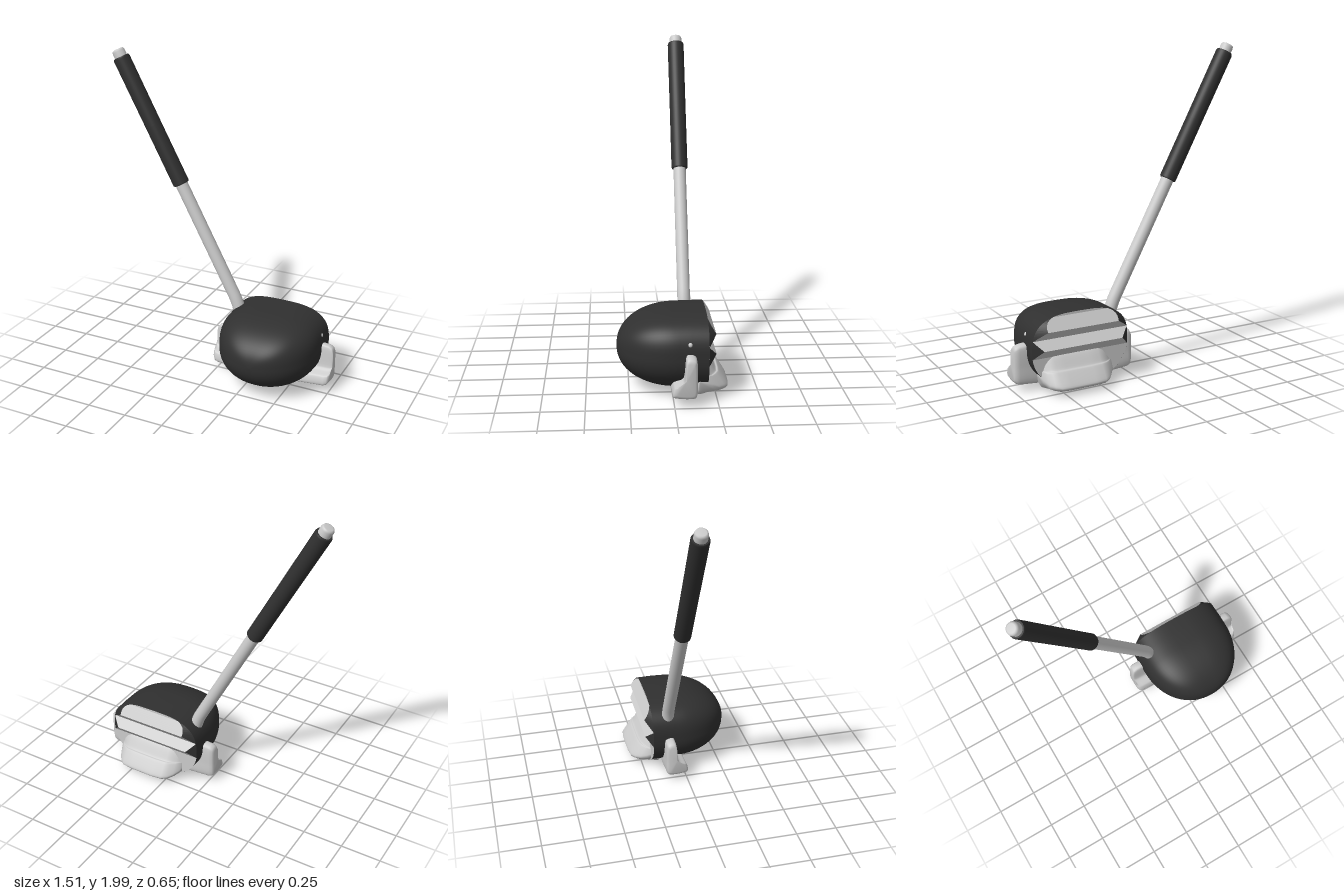
import * as THREE from 'three';

const grey = new THREE.MeshStandardMaterial({ color: 0xcccccc, side: THREE.DoubleSide });
const dark = new THREE.MeshStandardMaterial({ color: 0x303030, side: THREE.DoubleSide });
const CX = 0.36, CY = 0.25, FACE_Z = -0.2, SHAFT_Z = -0.095;

function mesh(name, geometry, material) {
  const m = new THREE.Mesh(geometry, material);
  m.name = name;
  return m;
}

// Skin over closed rings of equal length, ordered along their axis
function loft(rings) {
  const n = rings[0].length, pos = [], idx = [];
  rings.forEach(r => r.forEach(p => pos.push(...p)));
  for (let i = 0; i < rings.length - 1; i++)
    for (let j = 0; j < n; j++) {
      const a = i * n + j, b = i * n + (j + 1) % n;
      idx.push(a, b, b + n, a, b + n, a + n);
    }
  const g = new THREE.BufferGeometry();
  g.setAttribute('position', new THREE.Float32BufferAttribute(pos, 3));
  g.setIndex(idx);
  g.computeVertexNormals();
  return g;
}

// Head outline: boxier above the middle, rounder below
const power = up => (up ? 3 : 2.1);
function headRing(z, w, top, bottom) {
  const ring = [];
  for (let j = 0; j < 64; j++) {
    const t = j / 64 * Math.PI * 2, c = Math.cos(t), s = Math.sin(t);
    const k = 2 / power(s > 0);
    const x = Math.sign(c) * Math.abs(c) ** k * w;
    const y = Math.sign(s) * Math.abs(s) ** k * (s > 0 ? top : bottom);
    ring.push([CX + x, CY + y, z]);
  }
  return ring;
}
function halfWidth(y) {
  const d = Math.abs(y - CY) / (y > CY ? 0.225 : 0.24), p = power(y > CY);
  return 0.315 * Math.max(0, 1 - d ** p) ** (1 / p);
}

function headShell() {
  const rings = [headRing(FACE_Z, 0.315, 0.225, 0.24), headRing(-0.1, 0.318, 0.225, 0.238)];
  for (let i = 0; i <= 20; i++) {
    const a = i / 20 * Math.PI / 2, r = Math.cos(a) ** 0.92;
    rings.push(headRing(-0.03 + 0.35 * Math.sin(a), 0.317 * r, 0.222 * r, 0.23 * r));
  }
  return loft(rings);
}

// Ridged striking face, and the dark slanted ends of its ridges
function strikingFace() {
  const group = new THREE.Group();
  group.name = 'strikingFace';
  const profile = [[0.475, -0.2], [0.46, -0.2], [0.385, -0.245], [0.33, -0.2],
    [0.275, -0.245], [0.22, -0.2], [0.01, -0.2]];
  const rows = [];
  for (let i = 0; i < profile.length - 1; i++)
    for (let k = 0; k < 8; k++) {
      const [y0, z0] = profile[i], [y1, z1] = profile[i + 1], t = k / 8;
      rows.push([y0 + (y1 - y0) * t, z0 + (z1 - z0) * t]);
    }
  rows.push(profile.at(-1));
  const front = [], ends = [];
  const quad = (out, a, b, c, d) => out.push(...a, ...b, ...c, ...a, ...c, ...d);
  const at = ([y, z], side, inset) =>
    [CX + side * Math.max(0, halfWidth(y) - inset * (FACE_Z - z)), y, z];
  const rim = ([y], side) => [CX + side * halfWidth(y), y, FACE_Z];
  for (let i = 0; i < rows.length - 1; i++) {
    const p = rows[i], q = rows[i + 1];
    quad(front, at(p, -1, 1.3), at(p, 1, 1.3), at(q, 1, 1.3), at(q, -1, 1.3));
    quad(ends, at(p, 1, 1.3), rim(p, 1), rim(q, 1), at(q, 1, 1.3));
    quad(ends, rim(p, -1), at(p, -1, 1.3), at(q, -1, 1.3), rim(q, -1));
  }
  for (const [name, pos, mat] of [['ridges', front, grey], ['ridgeEnds', ends, dark]]) {
    const g = new THREE.BufferGeometry();
    g.setAttribute('position', new THREE.Float32BufferAttribute(pos, 3));
    g.computeVertexNormals();
    group.add(mesh(name, g, mat));
  }
  return group;
}

// Soft bar along x: a (y, z) profile scaled about an anchor at each station [x, sy, sz, dy]
function softBar(profile, [ay, az], stations) {
  const curve = new THREE.CatmullRomCurve3(
    profile.map(([y, z]) => new THREE.Vector3(0, y, z)), true, 'catmullrom', 0.35);
  const pts = curve.getPoints(48).slice(0, -1);
  return loft(stations.map(([x, sy, sz, dy = 0]) =>
    pts.map(p => [x, ay + (p.y - ay) * sy + dy, az + (p.z - az) * sz])));
}

function wing(side) {
  const profile = [[0.05, -0.12], [0.16, -0.13], [0.28, -0.125], [0.287, -0.07],
    [0.15, -0.055], [0.115, 0], [0.055, 0.005]];
  const drop = side > 0 ? 0 : -0.015;
  const stations = [[0.1, 0, 0, -0.02], [0.1, 0.9, 0.8, -0.01], [0.2, 1, 1, -0.01],
    [0.32, 1, 1], [0.36, 0.97, 1], [0.38, 0.9, 0.94], [0.392, 0.75, 0.75], [0.395, 0, 0]]
    .map(([x, sy, sz, dy = 0]) => [CX + side * x, sy, sz, dy + drop]);
  if (side < 0) stations.reverse();
  return softBar(profile, [0.165, -0.065], stations);
}

function shaft() {
  const group = new THREE.Group();
  group.name = 'shaft';
  const v = (x, y) => new THREE.Vector3(x, y, SHAFT_Z);
  const joint = v(-0.295, 1.18), tip = v(-0.723, 1.983);

  // Rod bending down into the head
  const path = new THREE.CurvePath();
  path.add(new THREE.LineCurve3(v(-0.35, 1.283), v(0.07, 0.495)));
  path.add(new THREE.QuadraticBezierCurve3(v(0.07, 0.495), v(0.115, 0.41), v(0.125, 0.3)));
  group.add(mesh('rod', new THREE.TubeGeometry(path, 60, 0.039, 24), grey));

  // Grip and rounded end knob, turned about the shaft axis
  const length = joint.distanceTo(tip);
  const lathe = pts => new THREE.LatheGeometry(pts.map(p => new THREE.Vector2(...p)), 32);
  const handle = new THREE.Group();
  handle.name = 'handle';
  handle.add(mesh('grip', lathe([[0, 0], [0.046, 0], [0.046, 0], [0.051, 0.008], [0.051, 0.4],
    [0.052, length - 0.06], [0.048, length - 0.05], [0.048, length - 0.05], [0, length - 0.05]]), dark));
  handle.add(mesh('endKnob', lathe([[0.039, length - 0.06], [0.039, length - 0.015],
    [0.034, length - 0.003], [0.026, length], [0, length]]), grey));
  handle.position.copy(joint);
  handle.quaternion.setFromUnitVectors(new THREE.Vector3(0, 1, 0), tip.clone().sub(joint).normalize());
  group.add(handle);
  return group;
}

export function createModel() {
  const model = new THREE.Group();
  model.name = 'club';
  model.add(mesh('headShell', headShell(), dark), strikingFace(), shaft());

  // Scooped lip below the face
  const lip = [[0.012, -0.13], [0.02, -0.22], [0.033, -0.3], [0.06, -0.325],
    [0.14, -0.27], [0.15, -0.25], [0.23, -0.195], [0.2, -0.13]];
  model.add(mesh('lowerLip', softBar(lip, [0.11, -0.15], [
    [0.15, 0, 0], [0.16, 0.6, 0.45, 0.01], [0.19, 0.8, 0.65], [0.215, 0.92, 0.83], [0.25, 1, 0.95],
    [0.32, 1, 1], [0.48, 1, 1], [0.54, 0.98, 0.96], [0.57, 0.9, 0.83], [0.595, 0.8, 0.65],
    [0.615, 0.6, 0.4, 0.01], [0.625, 0, 0]]), grey));

  // Side wings
  model.add(mesh('leftWing', wing(1), grey), mesh('rightWing', wing(-1), grey));

  // Small stud on the head's left side
  const stud = mesh('stud', new THREE.SphereGeometry(0.017, 16, 12), grey);
  stud.position.set(0.657, 0.345, -0.092);
  model.add(stud);
  return model;
}
